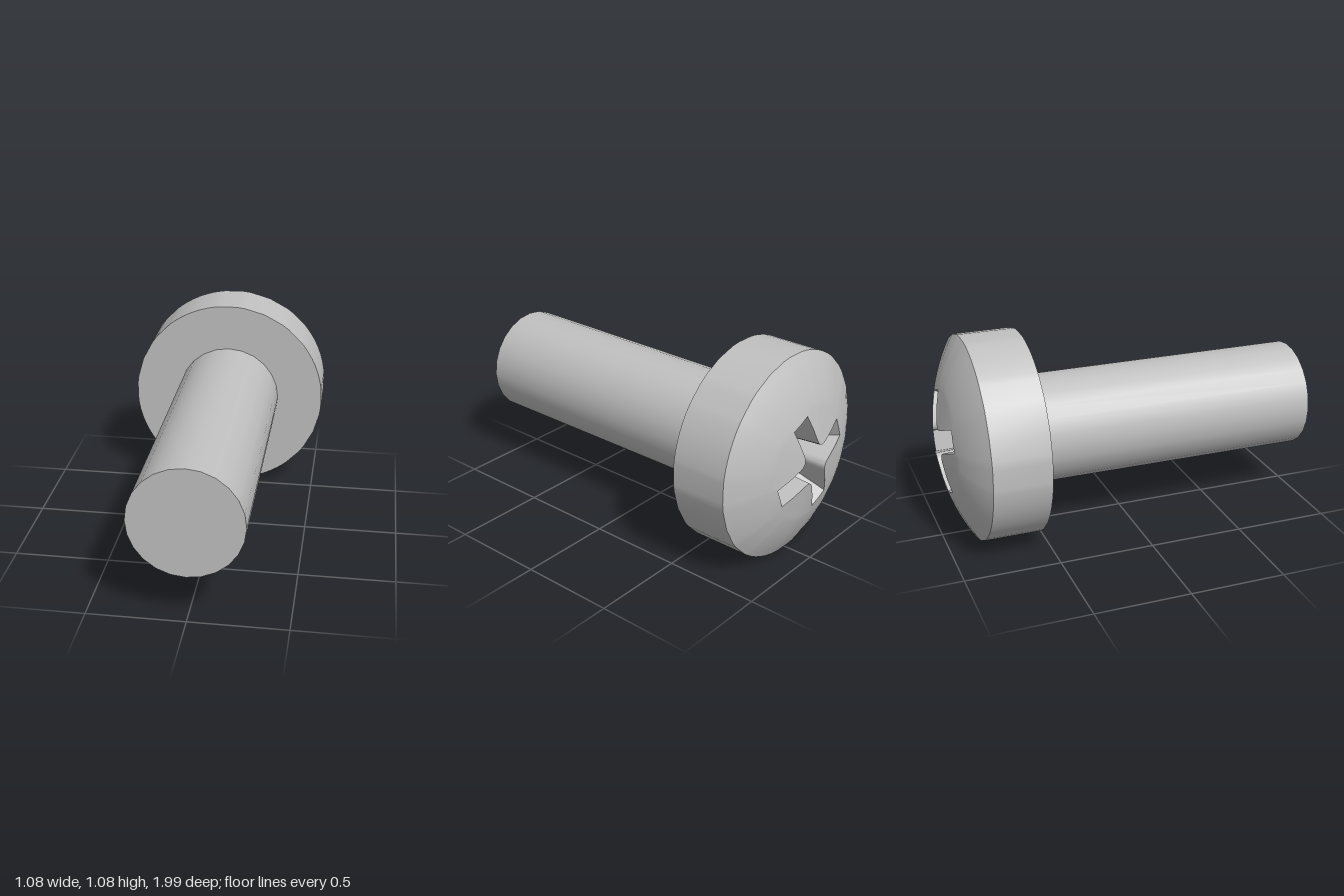
import * as THREE from 'three';
import { toCreasedNormals } from 'three/addons/utils/BufferGeometryUtils.js';

const HEAD_R = 0.54, SHANK_R = 0.287;
const Z_TIP = 1, Z_UNDER = -0.54, Z_RIM = -0.84, Z_TOP = -1;
const TILT = THREE.MathUtils.degToRad(-22); // turn of the cross recess
const SAG = Z_RIM - Z_TOP;
const DOME_R = (HEAD_R ** 2 + SAG ** 2) / (2 * SAG);
const domeZ = r => Z_TOP + DOME_R - Math.sqrt(DOME_R ** 2 - r * r);

// Outline of a four-armed cross with rounded inner corners: arm length, half width, fillet
function crossOutline(len, w, f) {
  const corners = [];
  for (let k = 0; k < 4; k++) {
    const arm = [[len, -w], [len, w], [w + f, w]];
    for (const t of [0.25, 0.5, 0.75]) {
      arm.push([w + f * (1 - t) ** 2, w + f * t ** 2]);
    }
    arm.push([w, w + f]);
    const a = TILT + k * Math.PI / 2;
    for (const [x, y] of arm) {
      corners.push(new THREE.Vector2(x, y).rotateAround(new THREE.Vector2(), a));
    }
  }
  // Halve each edge for an even rim
  return corners.flatMap((p, i) => [p, p.clone().lerp(corners[(i + 1) % corners.length], 0.5)]);
}

// Skin closed rings of points, ordered from the inside of the recess outwards
function loft(rings) {
  const n = rings[0].length, index = [];
  for (let j = 0; j < rings.length - 1; j++) {
    for (let i = 0; i < n; i++) {
      const a = j * n + i, b = j * n + (i + 1) % n;
      index.push(a, b, a + n, b, b + n, a + n);
    }
  }
  const g = new THREE.BufferGeometry().setFromPoints(rings.flat());
  g.setIndex(index);
  g.computeVertexNormals();
  return g;
}

export function createModel() {
  const steel = new THREE.MeshStandardMaterial({ color: 0xc0c0c0 });
  steel.name = 'steel grey';
  const model = new THREE.Group();
  model.name = 'screw';
  const add = (name, geometry) => {
    const mesh = new THREE.Mesh(geometry, steel);
    mesh.name = name;
    mesh.position.y = HEAD_R;
    model.add(mesh);
  };

  const opening = crossOutline(0.265, 0.058, 0.05);
  const bottom = crossOutline(0.1, 0.045, 0.03);
  const angles = opening.map(p => p.angle());
  const circle = (r, z) => angles.map(a => new THREE.Vector3(r * Math.cos(a), r * Math.sin(a), z));

  // Domed head top, from the recess edge to the rim
  const edge = opening.map(p => new THREE.Vector3(p.x, p.y, domeZ(p.length())));
  const domeRings = [edge];
  for (let j = 0; j <= 8; j++) {
    const r = 0.285 + (HEAD_R - 0.285) * j / 8;
    domeRings.push(circle(r, domeZ(r)));
  }
  add('headDome', loft(domeRings));

  // Tapered cross recess
  const floorZ = Z_TOP + 0.36;
  const floor = bottom.map(p => new THREE.Vector3(p.x, p.y, floorZ));
  const middle = floor.map(() => new THREE.Vector3(0, 0, floorZ));
  add('crossRecessWalls', toCreasedNormals(loft([floor, edge]), 0.6));
  add('crossRecessFloor', loft([middle, floor]));

  // Head side and flat underside
  add('headSide', loft([circle(HEAD_R, Z_RIM), circle(HEAD_R, Z_UNDER)]));
  add('headUnderside', loft([circle(HEAD_R, Z_UNDER), circle(0, Z_UNDER)]));

  // Plain shank
  const shank = new THREE.CylinderGeometry(SHANK_R, SHANK_R, Z_TIP - Z_UNDER, 24);
  shank.rotateX(Math.PI / 2).translate(0, 0, (Z_TIP + Z_UNDER) / 2);
  add('shank', shank);

  return model;
}
